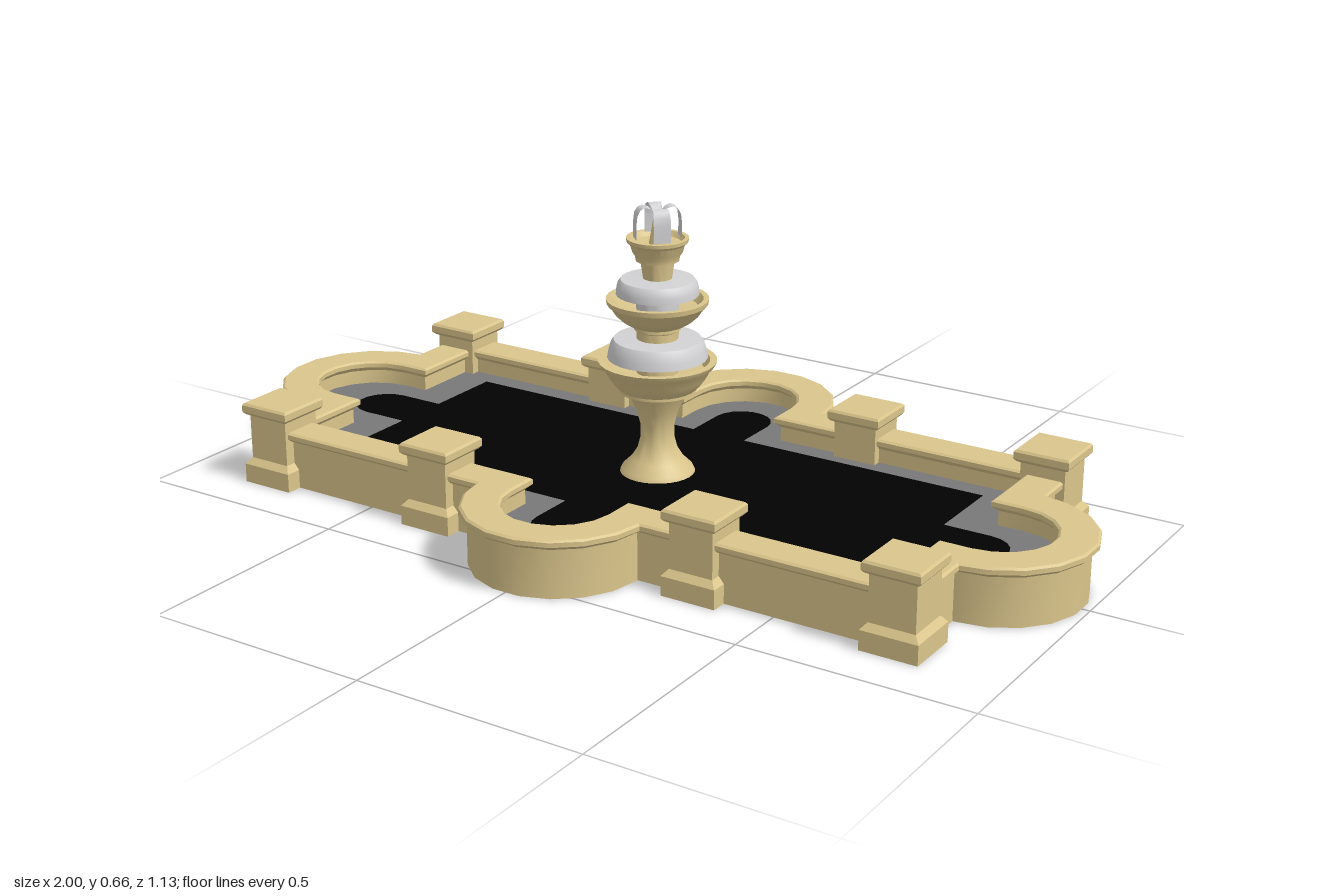
import * as THREE from 'three';
import { toCreasedNormals } from 'three/addons/utils/BufferGeometryUtils.js';

const ARC = 9; // segments per half-round bay

function material(name, color) {
  const m = new THREE.MeshStandardMaterial({ color, side: THREE.DoubleSide });
  m.name = name;
  return m;
}

// Rectangle outline with a half-round bay in the middle of every side
function outline(X, Z, R, cx, cz) {
  const half = [[X, -R]];
  for (let i = 0; i <= ARC; i++) {
    const a = -Math.PI / 2 + (Math.PI * i) / ARC;
    half.push([Math.max(X, cx + R * Math.cos(a)), R * Math.sin(a)]);
  }
  half.push([X, R], [X, Z], [R, Z]);
  for (let i = 0; i <= ARC; i++) {
    const a = (Math.PI * i) / ARC;
    half.push([R * Math.cos(a), Math.max(Z, cz + R * Math.sin(a))]);
  }
  half.push([-R, Z], [-X, Z]);
  return [...half, ...half.map(([x, z]) => [-x, -z])];
}

// Pool outline, offset by d from the middle of the wall
const poolOutline = d => outline(0.77 + d, 0.333 + d, 0.16 + d, 0.799, 0.366);

// Sweep a [offset, height] profile around the pool
function wallGeometry(profile) {
  const pos = [], index = [];
  let n = 0;
  for (const [d, y] of profile) {
    const ring = poolOutline(d);
    n = ring.length;
    for (const [x, z] of ring) pos.push(x, y, -z);
  }
  for (let i = 0; i < profile.length - 1; i++) {
    for (let j = 0; j < n; j++) {
      const a = i * n + j, b = i * n + ((j + 1) % n);
      index.push(a, b, b + n, a, b + n, a + n);
    }
  }
  const g = new THREE.BufferGeometry();
  g.setAttribute('position', new THREE.Float32BufferAttribute(pos, 3));
  g.setIndex(index);
  return toCreasedNormals(g, 0.5);
}

// Flat horizontal plate from an outline
function plateGeometry(points, y) {
  const clean = points.filter((p, i) => {
    const q = points[(i + 1) % points.length];
    return Math.hypot(p[0] - q[0], p[1] - q[1]) > 1e-5;
  });
  const shape = new THREE.Shape(clean.map(([x, z]) => new THREE.Vector2(x, z)));
  return new THREE.ShapeGeometry(shape).rotateX(-Math.PI / 2).translate(0, y, 0);
}

function latheGeometry(profile, segments = 28, scale = 1) {
  const pts = profile.map(([r, y]) => new THREE.Vector2(r * scale, y));
  return toCreasedNormals(new THREE.LatheGeometry(pts, segments), 0.6);
}

// Thin arching ribbon from [radius, height, half width] sections
function ribbonGeometry(sections) {
  const pos = [], index = [];
  sections.forEach(([r, y, w], i) => {
    pos.push(r, y, w, r, y, -w);
    if (i) index.push(2 * i - 2, 2 * i, 2 * i - 1, 2 * i - 1, 2 * i, 2 * i + 1);
  });
  const g = new THREE.BufferGeometry();
  g.setAttribute('position', new THREE.Float32BufferAttribute(pos, 3));
  g.setIndex(index);
  g.computeVertexNormals();
  return g;
}

export function createModel() {
  const model = new THREE.Group();
  model.name = 'fountain';
  const stone = material('sandstone', 0xdac58b);
  const water = material('falling water', 0xd2d2d4);
  const edge = material('pool edge grey', 0x787878);
  const pool = material('pool black', 0x020202);

  const add = (name, geometry, mat) => {
    const mesh = new THREE.Mesh(geometry, mat);
    mesh.name = name;
    model.add(mesh);
    return mesh;
  };

  // Pool wall with moulded coping, open underneath
  add('poolWall', wallGeometry([
    [0.026, 0], [0.026, 0.105], [0.034, 0.109], [0.042, 0.116], [0.042, 0.126],
    [0.037, 0.13], [-0.037, 0.13], [-0.042, 0.126], [-0.042, 0.116], [-0.034, 0.109],
    [-0.03, 0.105], [-0.03, 0.07],
  ]), stone);

  // Pool floor: stone underside, grey border, dark middle
  add('floorUnderside', plateGeometry(poolOutline(-0.03), 0.07), stone);
  add('floorBorder', plateGeometry(poolOutline(-0.03), 0.073), edge);
  add('floorMiddle', plateGeometry(outline(0.65, 0.25, 0.066, 0.755, 0.352), 0.076), pool);

  // Square pillars along both long walls
  const pillar = latheGeometry([
    [0.062, 0], [0.062, 0.042], [0.05, 0.056], [0.05, 0.154], [0.057, 0.158],
    [0.062, 0.164], [0.062, 0.179], [0.058, 0.184], [0, 0.184],
  ], 4, Math.SQRT2).rotateY(Math.PI / 4);
  for (const z of [-0.333, 0.333]) {
    for (const x of [-0.766, -0.326, 0.326, 0.766]) {
      add('pillar', pillar, stone).position.set(x, 0, z);
    }
  }

  // Pedestal and lower basin
  add('lowerBasin', latheGeometry([
    [0.082, 0.073], [0.077, 0.085], [0.057, 0.105], [0.043, 0.128], [0.036, 0.155],
    [0.037, 0.185], [0.045, 0.215], [0.06, 0.247], [0.066, 0.258], [0.083, 0.26],
    [0.083, 0.266], [0.093, 0.276], [0.105, 0.292], [0.114, 0.31], [0.122, 0.317],
    [0.127, 0.328], [0.112, 0.328], [0.1, 0.305], [0.03, 0.3],
  ]), stone);

  // Middle basin on its stem
  add('middleBasin', latheGeometry([
    [0.045, 0.3], [0.045, 0.394], [0.05, 0.397], [0.05, 0.404], [0.06, 0.408],
    [0.075, 0.417], [0.09, 0.431], [0.1, 0.446], [0.107, 0.453], [0.109, 0.464],
    [0.097, 0.464], [0.085, 0.445], [0.025, 0.44],
  ]), stone);

  // Upper basin on its stem
  add('upperBasin', latheGeometry([
    [0.03, 0.44], [0.03, 0.505], [0.036, 0.545], [0.046, 0.547], [0.047, 0.556],
    [0.053, 0.565], [0.058, 0.582], [0.065, 0.588], [0.066, 0.596], [0.057, 0.596],
    [0.05, 0.585], [0.015, 0.583],
  ]), stone);

  // Nozzle
  add('nozzle', latheGeometry([
    [0.018, 0.583], [0.014, 0.605], [0.008, 0.64], [0, 0.642],
  ], 12), stone);

  // Water skirts spilling into the two lower basins
  add('lowerWater', latheGeometry([
    [0.107, 0.335], [0.104, 0.35], [0.099, 0.366], [0.093, 0.375], [0.04, 0.377],
  ]), water);
  add('middleWater', latheGeometry([
    [0.088, 0.474], [0.087, 0.486], [0.084, 0.498], [0.078, 0.506], [0.03, 0.508],
  ]), water);
  add('middleWaterPool', latheGeometry([[0.045, 0.44], [0.045, 0.474], [0.03, 0.474]]), water);

  // Four arching sheets of water on the diagonals
  const jet = ribbonGeometry([
    [0.004, 0.635, 0.005], [0.008, 0.65, 0.008], [0.018, 0.66, 0.012], [0.03, 0.664, 0.015],
    [0.04, 0.659, 0.017], [0.046, 0.648, 0.018], [0.048, 0.63, 0.018], [0.048, 0.595, 0.018],
  ]);
  for (let i = 0; i < 4; i++) {
    add('waterJet', jet, water).rotation.y = Math.PI / 4 + (i * Math.PI) / 2;
  }
  return model;
}
